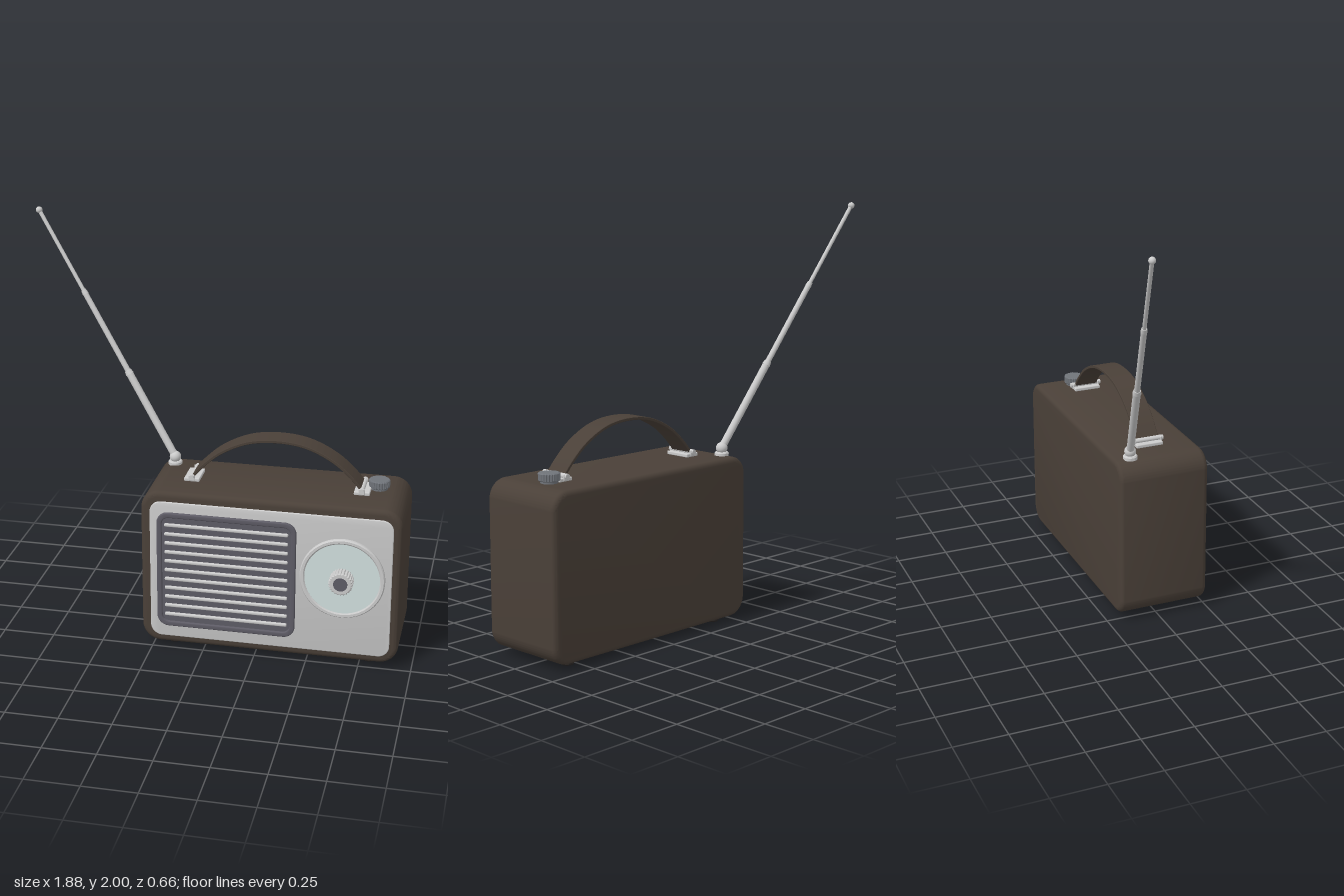
import * as THREE from 'three';
import { toCreasedNormals } from 'three/addons/utils/BufferGeometryUtils.js';
import { RoundedBoxGeometry } from 'three/addons/geometries/RoundedBoxGeometry.js';

const mat = (color, side = THREE.FrontSide) => new THREE.MeshStandardMaterial({ color, side });
const grey = mat(0xcccccc);
const leather = mat(0x4a4038);
const dark = mat(0x5e5c66);
const knobGrey = mat(0x70747a);
const glass = mat(0xd2e0df);
const rubber = mat(0x2c2826);

const CX = 0.317; // middle of the case

function roundedRect(w, h, r, Type = THREE.Shape) {
  const s = new Type(), x = w / 2, y = h / 2;
  s.absarc(x - r, y - r, r, 0, Math.PI / 2);
  s.absarc(-x + r, y - r, r, Math.PI / 2, Math.PI);
  s.absarc(-x + r, -y + r, r, Math.PI, Math.PI * 1.5);
  s.absarc(x - r, -y + r, r, Math.PI * 1.5, Math.PI * 2);
  s.closePath();
  return s;
}

// Extrusion from z0 to z1 whose bevel stays inside the given outline
function slab(shape, z0, z1, bevel, segments = 3) {
  const g = new THREE.ExtrudeGeometry(shape, {
    depth: z1 - z0 - 2 * bevel, curveSegments: 12, bevelEnabled: bevel > 0,
    bevelSize: bevel, bevelThickness: bevel, bevelOffset: -bevel, bevelSegments: segments,
  });
  g.translate(0, 0, z0 + bevel);
  return toCreasedNormals(g, 0.6);
}

// Fluted knob along +z, standing on z = 0
function flutedKnob(radius, height, flutes) {
  const pts = [];
  for (let i = 0; i < flutes * 4; i++) {
    const a = (i / (flutes * 4)) * Math.PI * 2;
    const r = radius * (i % 4 < 2 ? 1 : 0.93);
    pts.push(new THREE.Vector2(Math.cos(a) * r, Math.sin(a) * r));
  }
  return slab(new THREE.Shape(pts), 0, height, 0.004, 1);
}

// Turned part from [radius, height] pairs
function turned(profile, segments = 48) {
  const g = new THREE.LatheGeometry(profile.map(p => new THREE.Vector2(...p)), segments);
  return toCreasedNormals(g, 0.6);
}

export function createModel() {
  const root = new THREE.Group();
  const add = (name, geo, material, x = 0, y = 0, z = 0, parent = root) => {
    const m = new THREE.Mesh(geo, material);
    m.name = name;
    m.position.set(x, y, z);
    parent.add(m);
    return m;
  };

  // Case and front plate
  add('case', slab(roundedRect(1.235, 0.785, 0.09), -0.195, 0.25, 0.025, 5), leather, CX, 0.418, 0);
  add('frontPlate', slab(roundedRect(1.15, 0.7, 0.055), 0.235, 0.257, 0.004), grey, CX + 0.003, 0.415, 0);

  // Speaker grille: backing, raised rim and slats
  const grille = new THREE.Group();
  grille.name = 'speakerGrille';
  grille.position.set(0.113, 0.42, 0);
  root.add(grille);
  add('grilleBacking', slab(roundedRect(0.64, 0.57, 0.04), 0.25, 0.26, 0), dark, 0, 0, 0, grille);
  const rim = roundedRect(0.665, 0.59, 0.055);
  rim.holes.push(roundedRect(0.616, 0.541, 0.035, THREE.Path));
  add('grilleRim', slab(rim, 0.25, 0.27, 0.005), dark, 0, 0, 0, grille);
  const slat = new RoundedBoxGeometry(0.59, 0.016, 0.018, 3, 0.006);
  for (let i = 0; i < 11; i++) add('slat', slat, grey, 0, (i - 5) * 0.0465, 0.262, grille);

  // Tuning dial with its knob
  const dial = new THREE.Group();
  dial.name = 'tuningDial';
  dial.position.set(0.665, 0.458, 0.25);
  root.add(dial);
  const ring = add('dialRing', turned([[0.177, 0], [0.2, 0], [0.2, 0.018], [0.195, 0.024],
    [0.183, 0.024], [0.177, 0.019], [0.177, 0]], 64), grey, 0, 0, 0, dial);
  const face = add('dialFace', new THREE.CylinderGeometry(0.178, 0.178, 0.018, 64), glass, 0, 0, 0.009, dial);
  ring.rotation.x = face.rotation.x = Math.PI / 2;
  add('dialKnob', flutedKnob(0.057, 0.06, 24), grey, 0, 0, 0.018, dial);
  const cap = add('dialKnobCap', new THREE.CylinderGeometry(0.033, 0.033, 0.006, 32), dark, 0, 0, 0.078, dial);
  cap.rotation.x = Math.PI / 2;

  // Carrying strap: an arched band swept across z
  const arch = new THREE.CatmullRomCurve3([
    [-0.405, 0.83], [-0.355, 0.887], [-0.27, 0.96], [-0.14, 1.022], [0, 1.04],
    [0.14, 1.022], [0.27, 0.96], [0.355, 0.887], [0.405, 0.83],
  ].map(([x, y]) => new THREE.Vector3(x, y, 0)));
  const upper = [], lower = [];
  for (let i = 0; i <= 48; i++) {
    const p = arch.getPointAt(i / 48), t = arch.getTangentAt(i / 48);
    upper.push(new THREE.Vector2(p.x - t.y * 0.007, p.y + t.x * 0.007));
    lower.unshift(new THREE.Vector2(p.x + t.y * 0.007, p.y - t.x * 0.007));
  }
  const strap = slab(new THREE.Shape([...upper, ...lower]), -0.0575, 0.0575, 0.002, 1);
  add('carryStrap', strap, leather, CX, 0, 0.025);

  // Strap mounts: plate, cross pin and lugs on each side
  for (const s of [-1, 1]) {
    const mount = new THREE.Group();
    mount.name = s < 0 ? 'rightStrapMount' : 'leftStrapMount';
    mount.position.set(CX + s * 0.405, 0.81, 0.025);
    root.add(mount);
    add('mountPlate', new RoundedBoxGeometry(0.075, 0.018, 0.135, 2, 0.005), grey, 0, 0.008, 0, mount);
    const pin = add('crossPin', new THREE.CylinderGeometry(0.012, 0.012, 0.16, 20), grey, 0, 0.024, 0, mount);
    pin.rotation.x = Math.PI / 2;
    for (const z of [-0.066, 0.066])
      add('mountLug', new RoundedBoxGeometry(0.03, 0.03, 0.01, 2, 0.004), grey, 0, 0.018, z, mount);
  }

  // Volume knob on the top
  const volume = add('volumeKnob', flutedKnob(0.05, 0.038, 24), knobGrey, 0.793, 0.82, -0.01);
  volume.rotation.x = -Math.PI / 2;
  add('volumeKnobCollar', new THREE.CylinderGeometry(0.04, 0.04, 0.014, 32), knobGrey, 0.793, 0.815, -0.01);

  // Telescopic antenna, turned along its own axis
  add('antennaBase', turned([[0, 0], [0.034, 0], [0.034, 0.014], [0.029, 0.02], [0, 0.02]], 32), grey, -0.215, 0.808, -0.115);
  add('antennaPivot', new THREE.SphereGeometry(0.028, 24, 16), grey, -0.215, 0.846, -0.115);
  const from = new THREE.Vector3(-0.215, 0.846, -0.115);
  const to = new THREE.Vector3(-0.925, 1.985, -0.315);
  const length = from.distanceTo(to);
  const antenna = new THREE.Group();
  antenna.name = 'antenna';
  antenna.position.copy(from);
  antenna.quaternion.setFromUnitVectors(new THREE.Vector3(0, 1, 0), to.clone().sub(from).normalize());
  root.add(antenna);
  const stops = [0, 0.345, 0.67, 1], radii = [0.018, 0.0135, 0.0095];
  radii.forEach((r, i) => {
    const a = stops[i] * length, b = stops[i + 1] * length;
    add('antennaSection', new THREE.CylinderGeometry(r, r, b - a, 20), grey, 0, (a + b) / 2, 0, antenna);
    if (i < 2) add('antennaCollar', new THREE.CylinderGeometry(r * 0.9, r * 1.12, 0.022, 20), grey, 0, b, 0, antenna);
  });
  add('antennaTip', new THREE.SphereGeometry(0.016, 20, 14), grey, 0, length, 0, antenna);

  // Feet
  const foot = turned([[0, 0], [0.026, 0], [0.031, 0.006], [0.031, 0.035], [0, 0.035]], 24);
  for (const x of [-0.155, 0.79])
    for (const z of [-0.113, 0.168]) add('foot', foot, rubber, x, 0, z);

  return root;
}
